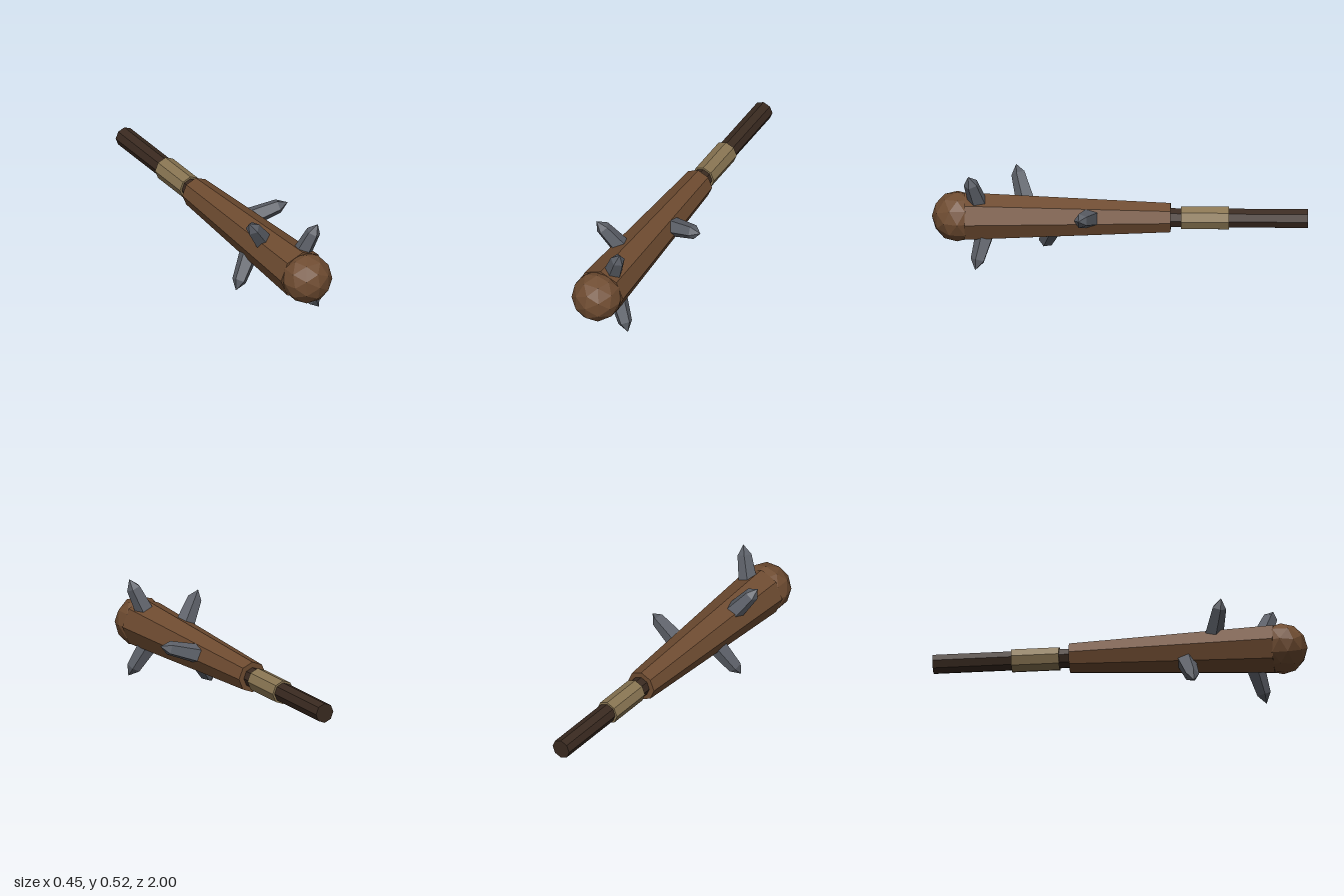
import * as THREE from 'three';

const paint = (name, color) => {
  const m = new THREE.MeshStandardMaterial({ color });
  m.name = name;
  return m;
};

// Split shared corners so every face shades flat
function faceted(geometry) {
  const g = geometry.index ? geometry.toNonIndexed() : geometry;
  g.computeVertexNormals();
  return g;
}

export function createModel() {
  const wood = paint('brown wood', 0x6f4c31);
  const darkWood = paint('dark grip wood', 0x3a2a20);
  const wrap = paint('tan wrap', 0x8a7653);
  const iron = paint('grey iron', 0x5d6169);

  const model = new THREE.Group();
  model.name = 'spikedClub';
  const club = new THREE.Group();
  club.name = 'club';
  club.position.set(-0.054, 0.258, 0);
  model.add(club);

  const add = (parent, name, geometry, material) => {
    const mesh = new THREE.Mesh(faceted(geometry), material);
    mesh.name = name;
    parent.add(mesh);
    return mesh;
  };

  // Eight-sided shaft section lying along z
  const section = (name, zBack, zFront, rBack, rFront, material) => {
    const g = new THREE.CylinderGeometry(rFront, rBack, zFront - zBack, 8);
    g.rotateX(Math.PI / 2).translate(0, 0, (zBack + zFront) / 2);
    add(club, name, g, material);
  };
  section('handle', -1, -0.24, 0.054, 0.054, darkWood);
  section('gripWrap', -0.58, -0.325, 0.065, 0.065, wrap);
  section('clubBody', -0.27, 0.825, 0.084, 0.136, wood);

  // Rounded end
  add(club, 'clubHead', new THREE.IcosahedronGeometry(0.136, 1).translate(0, 0, 0.864), wood);

  // Spikes: tip direction around the shaft (x, y) and tip position along z
  const spikes = [
    [-0.170, 0.232, 0.555],
    [0.105, 0.268, 0.805],
    [0.275, 0.084, 0.217],
    [0.135, -0.256, 0.767],
    [-0.166, -0.238, 0.41],
  ];
  const lean = 0.27, root = 0.06, shoulder = 0.236, tip = 0.288;
  const stretch = Math.hypot(1, lean);
  spikes.forEach(([x, y, z], i) => {
    const spike = new THREE.Group();
    spike.name = 'spike' + (i + 1);
    const length = (shoulder - root) * stretch;
    const point = (tip - shoulder) * stretch;
    add(spike, 'spikeShank',
      new THREE.CylinderGeometry(0.0395, 0.056, length, 5).translate(0, length / 2, 0), iron);
    add(spike, 'spikePoint',
      new THREE.ConeGeometry(0.0395, point, 5, 1, true).translate(0, length + point / 2, 0), iron);

    // Point outward, leaning to the front, with one ridge facing forward
    const r = Math.hypot(x, y);
    const up = new THREE.Vector3(x / r, y / r, lean).normalize();
    const side = new THREE.Vector3().crossVectors(up, new THREE.Vector3(0, 0, 1)).normalize();
    const ridge = new THREE.Vector3().crossVectors(side, up);
    spike.quaternion.setFromRotationMatrix(new THREE.Matrix4().makeBasis(side, up, ridge));
    spike.position.set(x / r * root, y / r * root, z - (tip - root) * lean);
    club.add(spike);
  });

  return model;
}
